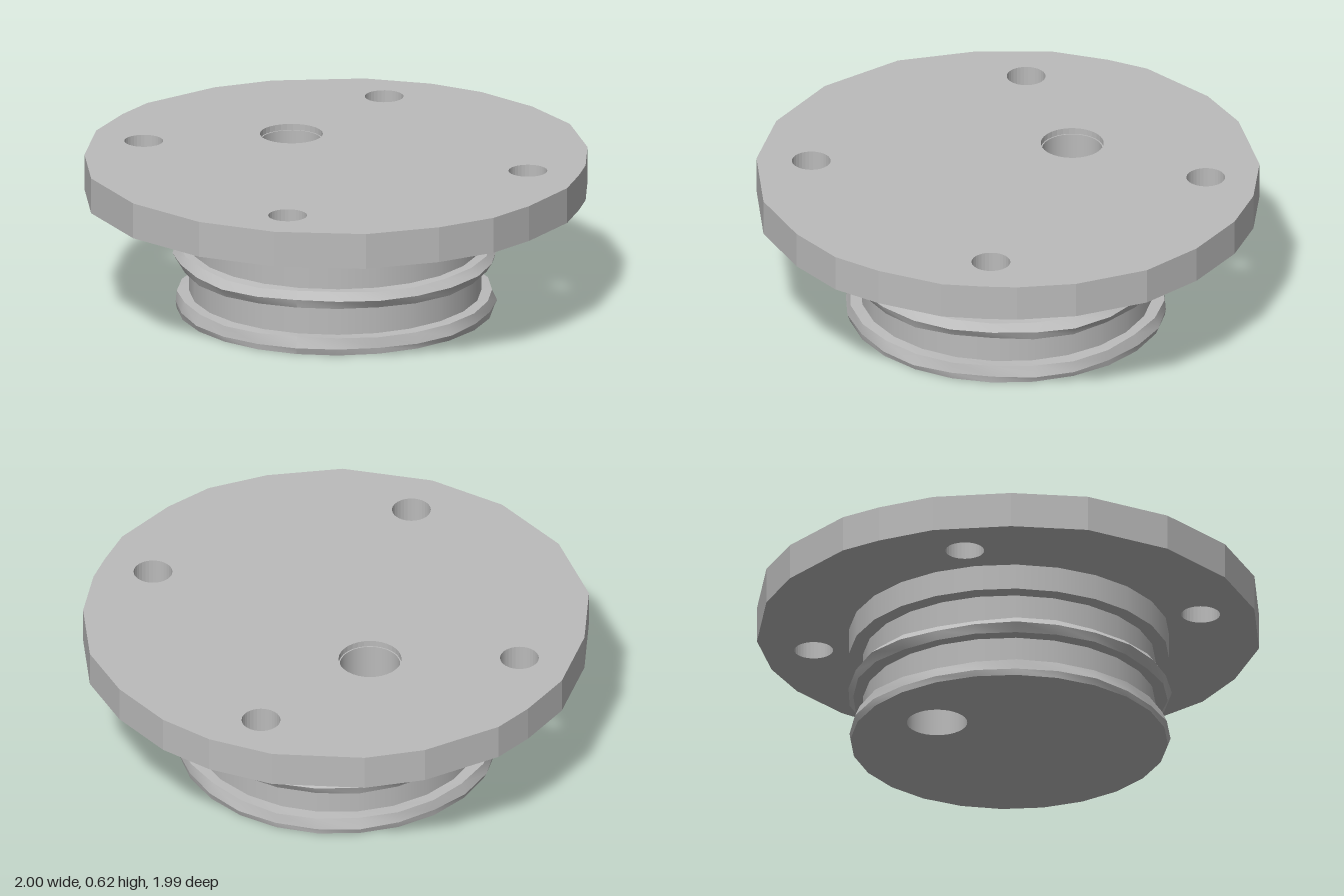
import * as THREE from 'three';

const SEGMENTS = 24;
const TOP = 0.625, FLANGE_BOTTOM = 0.48;
const BORE = { x: -0.24, z: -0.24, r: 0.12 };

// Uneven rim of the flange, as x, z pairs
const RIM = [
  [-0.13, -0.995], [0.14, -0.995], [0.36, -0.94], [0.6, -0.81], [0.8, -0.63], [0.94, -0.36],
  [0.99, -0.13], [0.995, 0], [0.99, 0.17], [0.9, 0.43], [0.8, 0.61], [0.62, 0.78],
  [0.36, 0.935], [0, 0.995], [-0.32, 0.945], [-0.63, 0.78], [-0.87, 0.51], [-0.97, 0.22],
  [-1, -0.09], [-0.95, -0.32], [-0.89, -0.48], [-0.68, -0.74], [-0.48, -0.88],
];

function circle(x, z, r) {
  return new THREE.Path().absarc(x, z, r, 0, Math.PI * 2, true);
}

// Revolved wall; each straight run is separate so its edges stay sharp
function addWall(group, name, profile, material, wobble = 0) {
  const wall = new THREE.Group();
  wall.name = name;
  for (let i = 0; i < profile.length - 1; i++) {
    const pts = [profile[i], profile[i + 1]].map(([r, y]) => new THREE.Vector2(r, y));
    const geo = new THREE.LatheGeometry(pts, SEGMENTS);
    const p = geo.attributes.position;
    if (wobble) {
      // Slightly worn, uneven crest
      for (let k = 0; k < p.count; k++) {
        const x = p.getX(k), y = p.getY(k), z = p.getZ(k);
        if (Math.hypot(x, z) < 0.6 || y < 0.002) continue;
        const a = Math.atan2(z, x);
        const s = 1 - wobble * (1 + Math.sin(7 * a + y * 40));
        p.setXYZ(k, x * s, y + 0.4 * wobble * Math.sin(5 * a + 1), z * s);
      }
      geo.computeVertexNormals();
    }
    wall.add(new THREE.Mesh(geo, material));
  }
  group.add(wall);
}

export function createModel() {
  const model = new THREE.Group();
  model.name = 'flangedPlug';
  const metal = new THREE.MeshStandardMaterial({ color: 0xbbbbbb });
  metal.name = 'plain grey';

  // Flange plate with four bolt holes and the offset bore
  const shape = new THREE.Shape(RIM.map(([x, z]) => new THREE.Vector2(x, z)));
  for (const [x, z] of [[0.785, -0.008], [-0.785, -0.008], [0, 0.777], [0, -0.793]]) {
    shape.holes.push(circle(x, z, 0.077));
  }
  shape.holes.push(circle(BORE.x, BORE.z, 0.125));
  const flangeGeo = new THREE.ExtrudeGeometry(shape, {
    depth: TOP - FLANGE_BOTTOM, bevelEnabled: false, curveSegments: 16,
  });
  flangeGeo.rotateX(Math.PI / 2);
  const flange = new THREE.Mesh(flangeGeo, metal);
  flange.name = 'flange';
  flange.position.y = TOP;
  model.add(flange);

  // Plug body: two grooves between three raised bands
  addWall(model, 'bottomBand', [[0.63, 0], [0.642, 0.025], [0.63, 0.068], [0.575, 0.07]], metal, 0.008);
  addWall(model, 'lowerGroove', [[0.58, 0.06], [0.58, 0.195]], metal);
  addWall(model, 'middleBand', [[0.575, 0.185], [0.63, 0.19], [0.648, 0.225], [0.62, 0.255], [0.575, 0.26]], metal, 0.01);
  addWall(model, 'upperGroove', [[0.58, 0.25], [0.58, 0.38]], metal);
  addWall(model, 'collar', [[0.575, 0.37], [0.635, 0.375], [0.635, FLANGE_BOTTOM]], metal);

  // Underside of the plug with the bore opening
  const base = new THREE.Shape();
  for (let i = 0; i < SEGMENTS; i++) {
    const a = (i / SEGMENTS) * Math.PI * 2;
    const x = 0.63 * Math.cos(a), z = 0.63 * Math.sin(a);
    if (i === 0) base.moveTo(x, z); else base.lineTo(x, z);
  }
  base.closePath();
  base.holes.push(circle(BORE.x, BORE.z, BORE.r));
  const baseMesh = new THREE.Mesh(new THREE.ShapeGeometry(base, 16).rotateX(Math.PI / 2), metal);
  baseMesh.name = 'underside';
  model.add(baseMesh);

  // Bore lining, facing inwards, with a small lip below the top
  const lining = [[0.125, 0.6], [BORE.r, 0.6], [BORE.r, 0]];
  const bore = new THREE.Group();
  bore.name = 'bore';
  for (let i = 0; i < 2; i++) {
    const pts = [lining[i], lining[i + 1]].map(([r, y]) => new THREE.Vector2(r, y));
    bore.add(new THREE.Mesh(new THREE.LatheGeometry(pts, 32), metal));
  }
  bore.position.set(BORE.x, 0, BORE.z);
  model.add(bore);

  return model;
}
